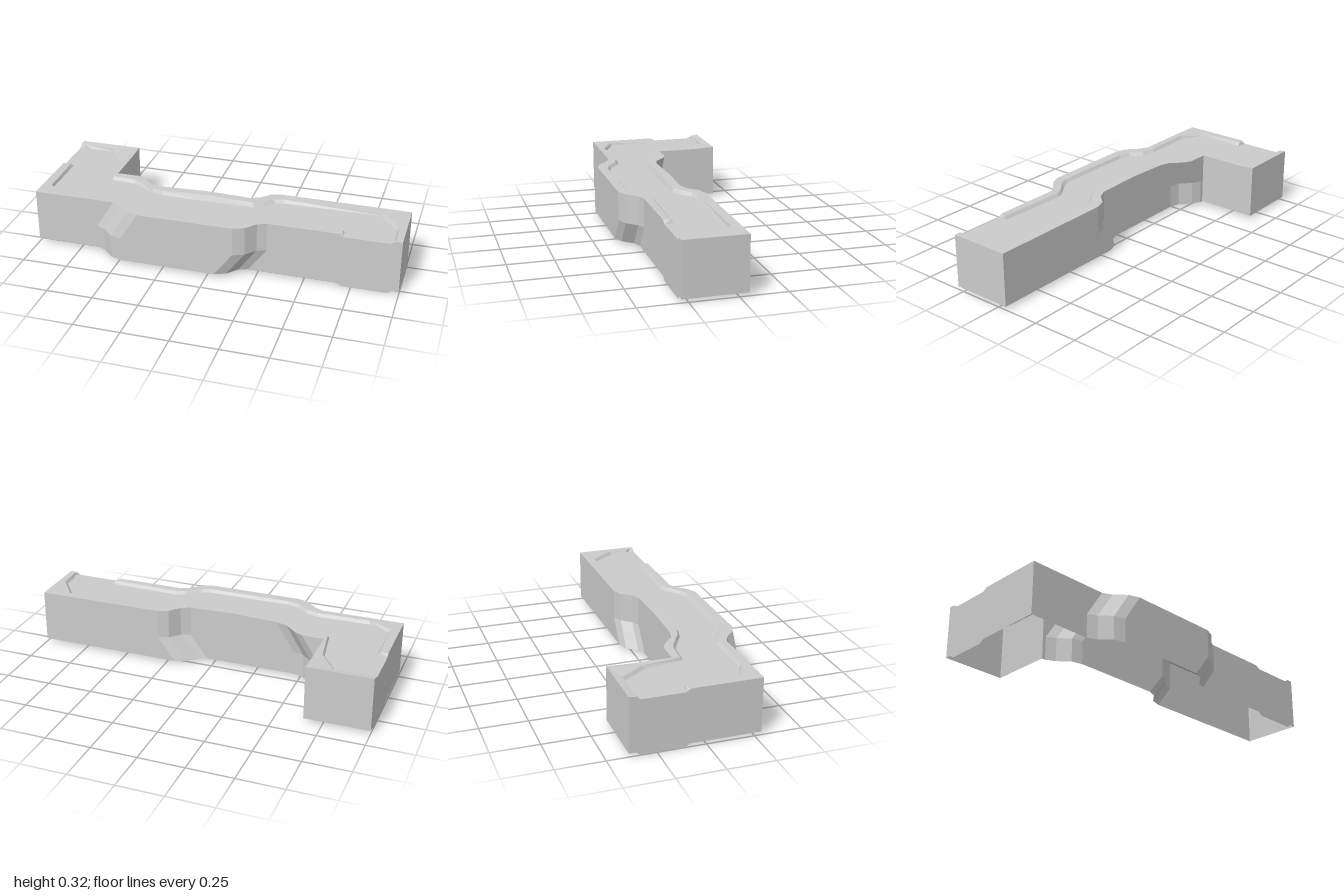
import * as THREE from 'three';

const RIM = 0.308, FLOOR = 0.292, DEPTH = 0.29;

// Pairs of [outer x, outer z, inner x, inner z] along each raised border.
// The first and last pair of each run down to floor level at the openings.
const backBorder = [
  [-1, -0.33, -1, -0.335], [-1, -0.355, -0.98, -0.35], [-1, -0.39, -0.95, -0.35],
  [-0.65, -0.39, -0.78, -0.35], [-0.65, -0.28, -0.69, -0.22], [-0.65, -0.05, -0.66, -0.01],
  [-0.53, -0.05, -0.53, 0], [-0.48, -0.025, -0.48, 0.025], [-0.42, 0.03, -0.4, 0.075],
  [-0.36, 0.045, -0.34, 0.09], [-0.1, 0.045, -0.1, 0.09], [0.14, 0.045, 0.17, 0.09],
  [0.19, 0.025, 0.22, 0.06], [0.24, -0.03, 0.27, 0.015], [0.3, -0.05, 0.32, 0],
  [1, -0.05, 0.86, 0], [1, 0.1, 0.96, 0.13], [1, 0.285, 0.965, 0.25],
  [0.965, 0.285, 0.965, 0.27], [0.94, 0.285, 0.95, 0.285],
];
const frontBorder = [
  [0.7, 0.285, 0.695, 0.285], [0.675, 0.285, 0.69, 0.25], [0.3, 0.285, 0.3, 0.24],
  [0.25, 0.305, 0.25, 0.26], [0.2, 0.36, 0.18, 0.315], [0.14, 0.385, 0.13, 0.335],
  [-0.38, 0.385, -0.34, 0.335], [-0.44, 0.365, -0.41, 0.315], [-0.5, 0.31, -0.47, 0.265],
  [-0.55, 0.285, -0.54, 0.245], [-0.8, 0.285, -0.82, 0.25], [-1, 0.285, -0.95, 0.19],
  [-1, 0, -0.955, -0.05], [-1, -0.085, -0.96, -0.095], [-1, -0.11, -1, -0.105],
];

const material = new THREE.MeshStandardMaterial({
  color: 0xcccccc, flatShading: true, side: THREE.DoubleSide,
});

function addMesh(group, geometry, name) {
  const mesh = new THREE.Mesh(geometry, material);
  mesh.name = name;
  group.add(mesh);
}

// Strip of quads between two or more polylines with equal point counts
function loft(rows, closed = false) {
  const n = rows[0].length, index = [];
  for (let r = 0; r < rows.length - 1; r++) {
    for (let i = 0; i < (closed ? n : n - 1); i++) {
      const a = r * n + i, b = r * n + (i + 1) % n;
      index.push(a, b, a + n, b, b + n, a + n);
    }
  }
  let geometry = new THREE.BufferGeometry().setFromPoints(rows.flat());
  geometry.setIndex(index);
  geometry = geometry.toNonIndexed();
  geometry.computeVertexNormals();
  return geometry;
}

// Gentle swell on the back border
const swell = (x, z) =>
  z < 0.1 ? 0.014 * Math.exp(-(((x + 0.08) / 0.28) ** 2)) + (z < -0.38 ? 0.005 : 0) : 0;

function borderLines(pairs) {
  const outer = [], inner = [], foot = [];
  pairs.forEach(([ox, oz, ix, iz], i) => {
    const end = i === 0 || i === pairs.length - 1;
    outer.push(new THREE.Vector3(ox, end ? FLOOR : RIM + swell(ox, oz), oz));
    inner.push(new THREE.Vector3(ix, end ? FLOOR : RIM + swell(ix, iz), iz));
    const away = new THREE.Vector3(ix - ox, 0, iz - oz).setLength(end ? 0 : 0.015);
    foot.push(new THREE.Vector3(ix, FLOOR, iz).add(away));
  });
  return { outer, inner, foot };
}

export function createModel() {
  const group = new THREE.Group();
  group.name = 'windingPathBlock';
  const back = borderLines(backBorder), front = borderLines(frontBorder);

  // Raised borders and the low banks down to the path
  for (const [side, lines] of [['back', back], ['front', front]]) {
    addMesh(group, loft([lines.inner, lines.outer]), side + 'Border');
    addMesh(group, loft([lines.foot, lines.inner]), side + 'Bank');
  }

  // Sunken path floor
  const outline = [...back.foot, ...front.foot].map(p => new THREE.Vector2(p.x, -p.z));
  const floor = new THREE.ShapeGeometry(new THREE.Shape(outline));
  floor.rotateX(-Math.PI / 2).translate(0, FLOOR, 0);
  addMesh(group, floor, 'pathFloor');

  // Skirt walls, open below; the bends are sheared towards -x lower down
  const top = [...back.outer, ...front.outer];
  const leftBend = p => p.x > -0.6 && p.x < -0.35;
  const rightBend = p => p.x > 0.12 && p.x < 0.32;
  const middle = top.map(p => new THREE.Vector3(p.x - (leftBend(p) ? 0.1 : 0), 0.15, p.z));
  const bottom = top.map(p => new THREE.Vector3(
    p.x - (leftBend(p) || rightBend(p) ? 0.1 : 0),
    (p.y < RIM ? FLOOR : RIM + 0.002) - DEPTH - 0.002, p.z));
  addMesh(group, loft([top, middle, bottom], true), 'skirtWalls');

  return group;
}
